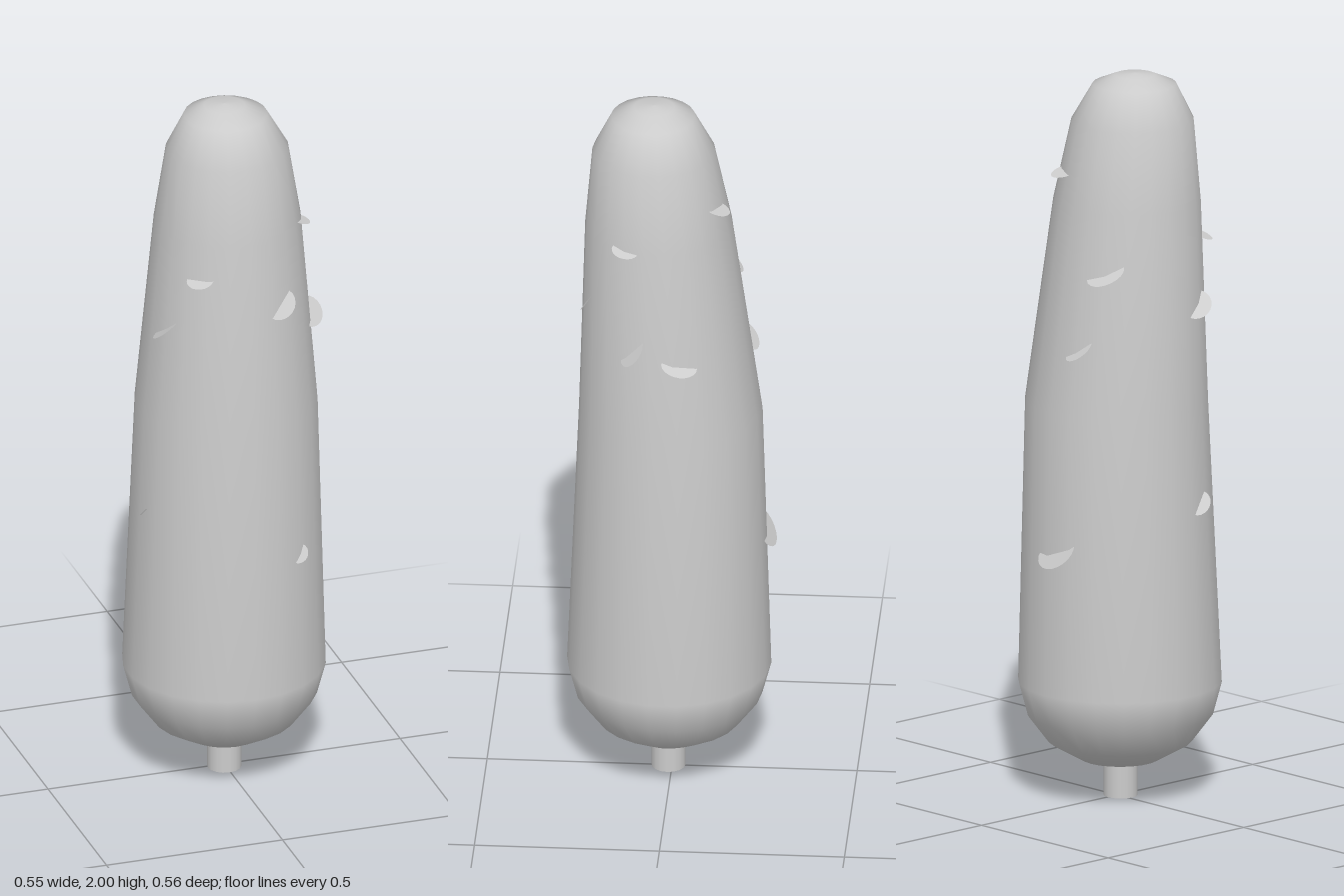
import * as THREE from 'three';

// Body cross-sections, bottom to top: [y, centre x, centre z, radius]
const SECTIONS = [
  [0.085, -0.003, 0.008, 0], [0.103, -0.003, 0.008, 0.106], [0.154, -0.003, 0.008, 0.195],
  [0.23, -0.003, 0.008, 0.252], [0.32, -0.003, 0.008, 0.276], [1.1, 0.005, 0.003, 0.248],
  [1.65, -0.002, 0.035, 0.2], [1.87, -0.008, 0.05, 0.166], [1.97, -0.013, 0.052, 0.113],
  [1.995, -0.016, 0.05, 0.055], [2, -0.016, 0.05, 0],
];
const SIDES = 22;

// Interpolated section at a height
function sectionAt(y) {
  const i = Math.max(1, SECTIONS.findIndex((s) => s[0] >= y));
  const a = SECTIONS[i - 1], b = SECTIONS[i];
  const t = (y - a[0]) / (b[0] - a[0]);
  return a.map((v, k) => v + (b[k] - v) * t);
}

// Lathe whose rings are shifted sideways to lean the body
function makeBody(material) {
  const profile = SECTIONS.map(([y, , , r]) => new THREE.Vector2(r, y));
  const geometry = new THREE.LatheGeometry(profile, SIDES);
  const pos = geometry.attributes.position;
  for (let i = 0; i < pos.count; i++) {
    const [, cx, cz] = SECTIONS[i % SECTIONS.length];
    pos.setX(i, pos.getX(i) + cx);
    pos.setZ(i, pos.getZ(i) + cz);
  }
  const mesh = new THREE.Mesh(geometry, material);
  mesh.name = 'body';
  return mesh;
}

// Thin oval flake half sunk into the skin, drooping outward and rolled sideways
function makeFlake([x, y, z, length, reach, dip, roll], material) {
  const [, cx, cz, r] = sectionAt(y);
  const angle = Math.atan2(x - cx, z - cz);
  const geometry = new THREE.CircleGeometry(1, 20);
  geometry.scale(length / 2, reach, 1);
  geometry.rotateX(-Math.PI / 2 + dip);
  geometry.rotateZ(roll);
  const flake = new THREE.Mesh(geometry, material);
  flake.name = 'flake';
  flake.rotation.y = angle;
  flake.position.set(cx + Math.sin(angle) * (r - 0.004), y, cz + Math.cos(angle) * (r - 0.004));
  return flake;
}

// x, y, z, length, reach, dip, roll
const FLAKES = [
  [-0.14, 1.55, 0.2, 0.075, 0.034, 0.4, 0.05],
  [0.09, 1.46, 0.225, 0.09, 0.04, 0.75, 0.75],
  [0.21, 1.365, 0.095, 0.09, 0.045, 0.6, 0.75],
  [0.145, 0.71, 0.235, 0.055, 0.025, 0.7, 0.9],
  [0.175, 1.655, 0.115, 0.075, 0.03, 0.3, -0.15],
  [-0.21, 1.38, 0.11, 0.1, 0.04, 0.4, 0.6],
  [-0.245, 0.84, 0.08, 0.075, 0.03, 0.4, 0.8],
  [0.225, 1.33, -0.035, 0.1, 0.035, 0.6, -0.2],
  [0.085, 1.74, -0.15, 0.075, 0.04, 0.3, -0.1],
  [-0.03, 0.72, -0.27, 0.13, 0.05, 0.9, 0.3],
  [-0.07, 1.28, -0.215, 0.09, 0.035, 0.6, 0.5],
  [-0.125, 1.49, -0.165, 0.11, 0.04, 0.6, 0.35],
];

export function createModel() {
  const group = new THREE.Group();
  const grey = new THREE.MeshStandardMaterial({ color: 0xcccccc, side: THREE.DoubleSide });
  grey.name = 'grey';

  group.add(makeBody(grey));

  // Short stick under the body
  const stem = new THREE.Mesh(new THREE.CylinderGeometry(0.046, 0.046, 0.14, 16), grey);
  stem.name = 'stem';
  stem.position.set(-0.003, 0.07, 0.01);
  group.add(stem);

  const flakes = new THREE.Group();
  flakes.name = 'flakes';
  FLAKES.forEach((f) => flakes.add(makeFlake(f, grey)));
  group.add(flakes);
  return group;
}
